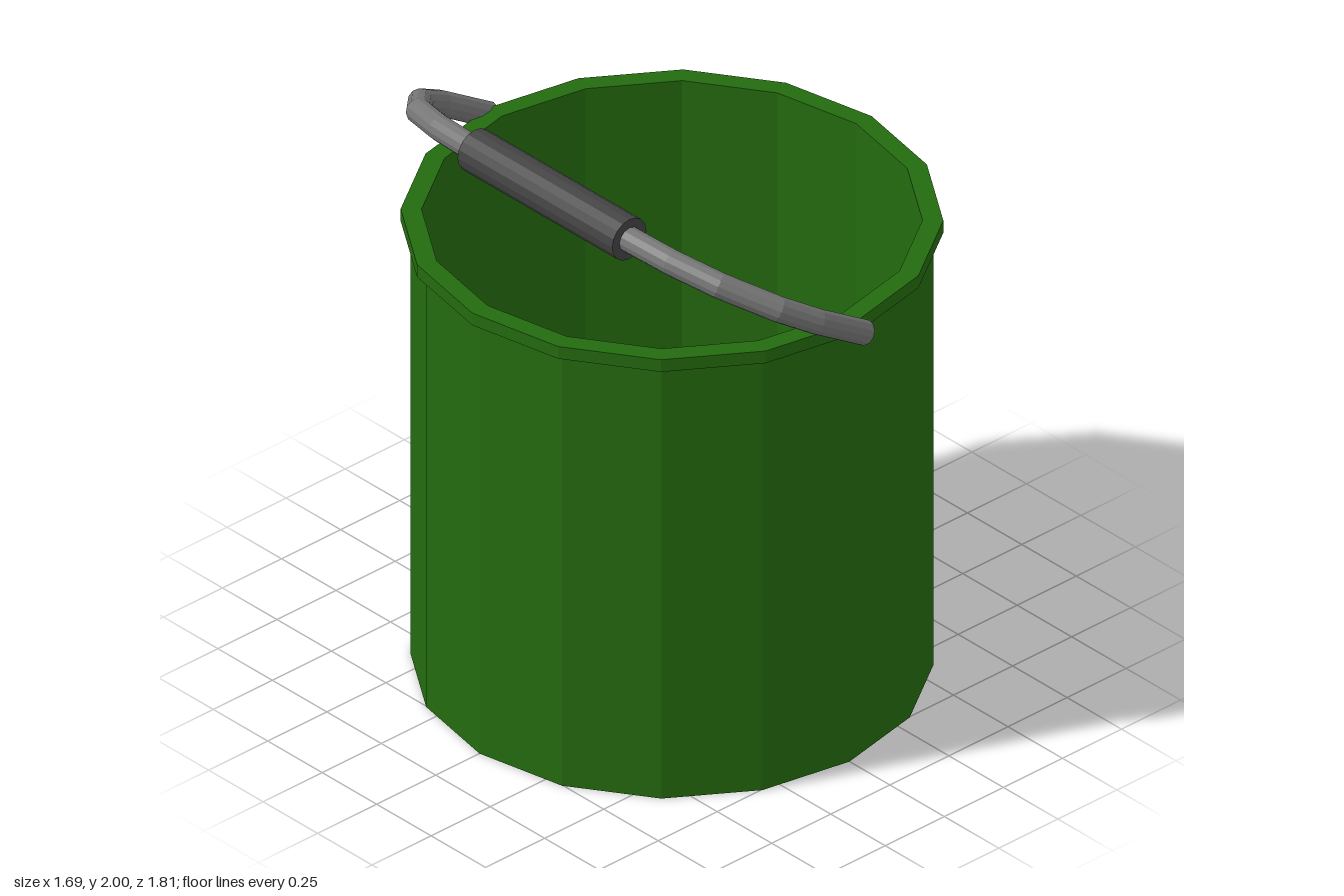
import * as THREE from 'three';

const paint = (color) => new THREE.MeshStandardMaterial({ color, flatShading: true });

function addMesh(parent, name, geometry, material) {
  const mesh = new THREE.Mesh(geometry, material);
  mesh.name = name;
  parent.add(mesh);
  return mesh;
}

export function createModel() {
  const model = new THREE.Group();
  model.name = 'bucket';
  const green = paint(0x246b0f);
  const metal = paint(0x777777);
  const dark = paint(0x444444);

  // Hollow bucket: base, outer wall, projecting rim, inner wall and floor
  const profile = [
    [0, 0], [0.815, 0], [0.815, 1.59], [0.845, 1.59],
    [0.845, 1.635], [0.78, 1.635], [0.78, 0.04], [0, 0.04],
  ].map(([r, y]) => new THREE.Vector2(r, y));
  addMesh(model, 'bucketBody', new THREE.LatheGeometry(profile, 16), green);

  // Bail handle: half outline in its tilted plane as [s, z], s = 0 at the pivot, 1 at the grip
  const handle = new THREE.Group();
  handle.name = 'handle';
  model.add(handle);
  const half = [[0, 0.863], [0.39, 0.863], [0.62, 0.82], [0.86, 0.69], [0.97, 0.53], [1, 0.355]];
  const mirrored = half.map(([s, z]) => [s, -z]).reverse();
  const points = [...half, ...mirrored].map(
    ([s, z]) => new THREE.Vector3(0.018 - 0.526 * s, 1.595 + 0.3325 * s, z));
  const path = new THREE.CatmullRomCurve3(points);
  // One ring per outline point keeps the bends angular
  path.getPointAt = (t, target) => path.getPoint(t, target);
  path.getTangentAt = (t, target) => path.getTangent(t, target);
  const radius = 0.042;
  addMesh(handle, 'handleBar', new THREE.TubeGeometry(path, points.length - 1, radius, 12), metal);

  // Flat ends of the bar
  for (const end of [0, points.length - 1]) {
    const cap = addMesh(handle, 'handleEnd', new THREE.CircleGeometry(radius, 12), metal);
    const outward = path.getTangent(end ? 1 : 0).multiplyScalar(end ? 1 : -1);
    cap.position.copy(points[end]);
    cap.quaternion.setFromUnitVectors(new THREE.Vector3(0, 0, 1), outward);
  }

  // Grip sleeve
  const grip = addMesh(handle, 'grip', new THREE.CylinderGeometry(0.0725, 0.0725, 0.71, 16), dark);
  grip.rotation.x = Math.PI / 2;
  grip.position.set(-0.508, 1.9275, 0);

  return model;
}
